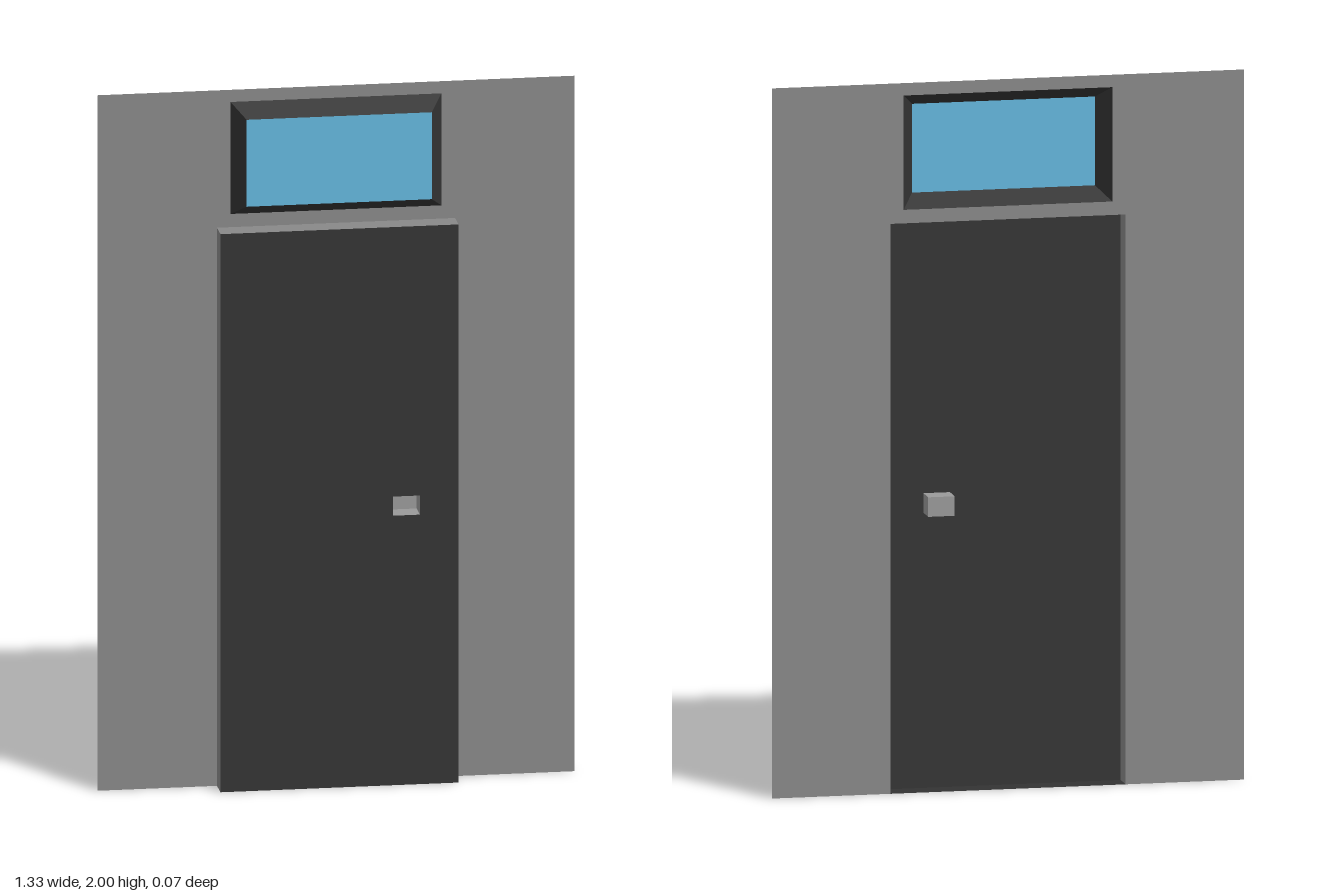
import * as THREE from 'three';

const BACK = -0.033, FRONT = 0.033, PANE = 0.027;

const paint = (color) => new THREE.MeshStandardMaterial({ color, flatShading: true, side: THREE.DoubleSide });

// Rectangle given by its left, right, bottom and top edges
const rect = (l, r, b, t) => ({ l, r, b, t });
const inset = ({ l, r, b, t }, d) => rect(l + d, r - d, b + d, t - d);
const corners = ({ l, r, b, t }) => [[l, b], [r, b], [r, t], [l, t]];
const outline = (q, Type = THREE.Shape) => new Type(corners(q).map(([x, y]) => new THREE.Vector2(x, y)));

// Flat sheet facing +z, with optional rectangular holes
function sheet(q, z, holes = []) {
  const shape = outline(q);
  shape.holes = holes.map((h) => outline(h, THREE.Path));
  return new THREE.ShapeGeometry(shape).translate(0, 0, z);
}

// Walls joining a back rectangle to a front one; sides: 0 bottom, 1 right, 2 top, 3 left
function sleeve(back, front, zBack, zFront, sides = [0, 1, 2, 3]) {
  const b = corners(back), f = corners(front), pos = [];
  for (const i of sides) {
    const j = (i + 1) % 4;
    const A = [...b[i], zBack], B = [...b[j], zBack], C = [...f[j], zFront], D = [...f[i], zFront];
    pos.push(...A, ...B, ...C, ...A, ...C, ...D);
  }
  const g = new THREE.BufferGeometry();
  g.setAttribute('position', new THREE.Float32BufferAttribute(pos, 3));
  g.computeVertexNormals();
  return g;
}

export function createModel() {
  const model = new THREE.Group();
  const grey = paint(0x888888), dark = paint(0x333333), glass = paint(0x63b6dc), metal = paint(0x999999);
  const add = (name, geometry, material) => {
    const mesh = new THREE.Mesh(geometry, material);
    mesh.name = name;
    model.add(mesh);
  };

  const door = rect(-0.333, 0.333, 0, 1.605);
  const handle = rect(0.15, 0.225, 0.775, 0.83);
  const windowOuter = rect(-0.295, 0.295, 1.643, 1.965);
  const windowInner = inset(windowOuter, 0.036);

  // Thin wall with a doorway notch and a window opening
  const wall = new THREE.Shape([
    [-0.667, 0], [door.l, 0], [door.l, door.t], [door.r, door.t],
    [door.r, 0], [0.667, 0], [0.667, 2], [-0.667, 2],
  ].map(([x, y]) => new THREE.Vector2(x, y)));
  wall.holes.push(outline(windowOuter, THREE.Path));
  add('wall', new THREE.ShapeGeometry(wall).translate(0, 0, BACK), grey);

  // Door standing forward of the wall, open at the back
  add('doorPanel', sheet(door, FRONT, [handle]), dark);
  add('doorJamb', sleeve(door, door, BACK, FRONT, [1, 2, 3]), grey);
  add('doorSill', sleeve(door, door, BACK, FRONT, [0]), dark);

  // Handle: a pocket in the front that is a small box at the back
  add('handleSides', sleeve(handle, handle, -0.03, FRONT), metal);
  add('handleEnd', sheet(handle, -0.03), metal);

  // Window with a bevelled frame
  add('windowFrame', sleeve(windowOuter, windowInner, BACK, PANE), dark);
  add('windowPane', sheet(windowInner, PANE), glass);

  return model;
}
